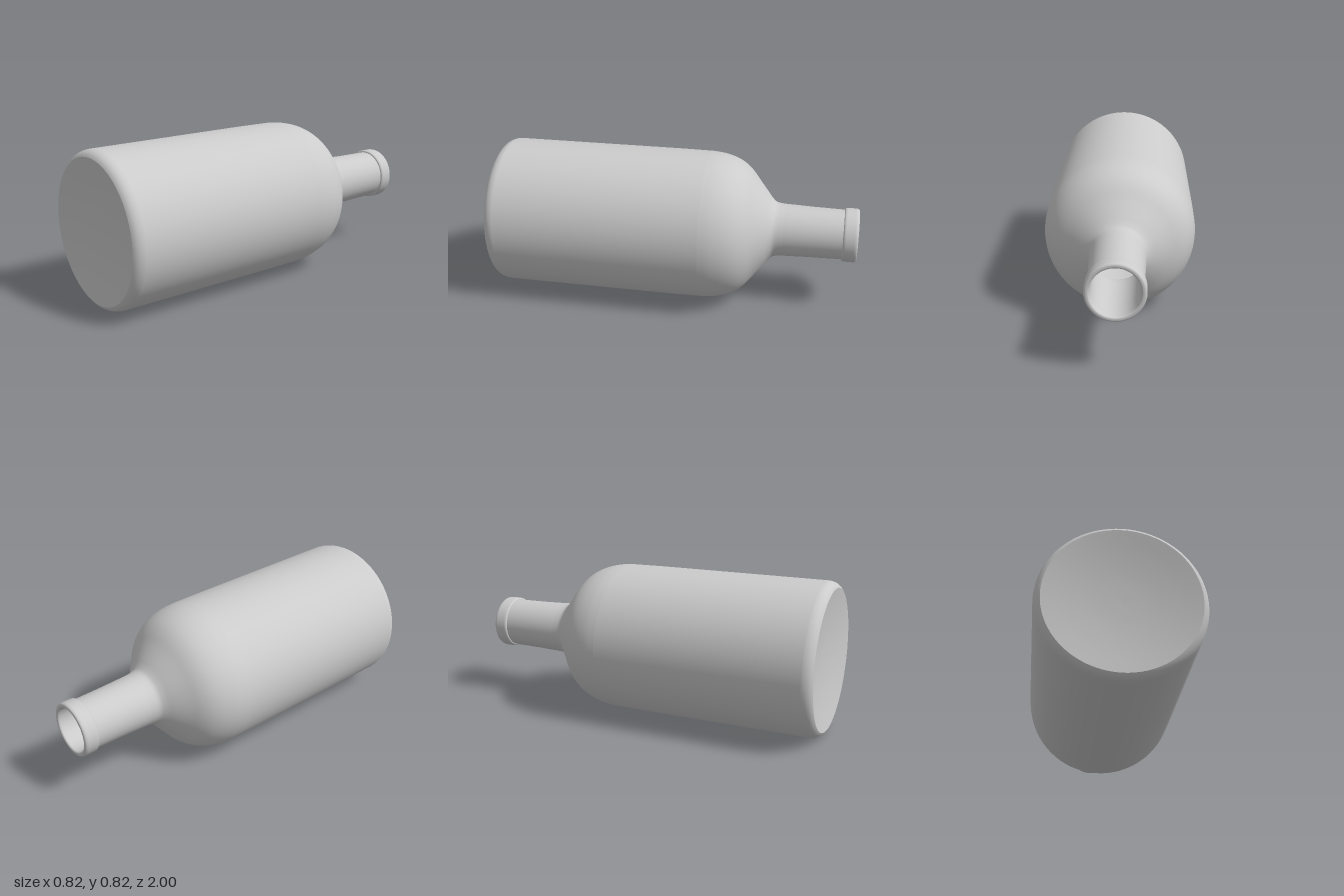
import * as THREE from 'three';

const SEGMENTS = 96;
const RADIUS = 0.41;

const material = new THREE.MeshStandardMaterial({ color: 0xcccccc });

const vec = ([r, h]) => new THREE.Vector2(r, h);

// Smooth profile through [radius, height] points
const smooth = (points, steps) => new THREE.SplineCurve(points.map(vec)).getPoints(steps);

// Quarter-round from one profile point to another, bulging toward a corner
const round = (from, corner, to, steps = 8) =>
  new THREE.QuadraticBezierCurve(vec(from), vec(corner), vec(to)).getPoints(steps);

function lathe(name, profile) {
  const mesh = new THREE.Mesh(new THREE.LatheGeometry(profile, SEGMENTS), material);
  mesh.name = name;
  return mesh;
}

export function createModel() {
  const bottle = new THREE.Group();
  bottle.name = 'bottle';

  // Shallow hollow underneath
  bottle.add(lathe('base', smooth([[0, -0.965], [0.13, -0.969], [0.26, -0.982], [0.377, -1]], 16)));

  // Rounded heel and straight wall
  bottle.add(lathe('body', [
    ...round([0.377, -1], [0.407, -0.985], [RADIUS, -0.945]),
    vec([RADIUS, 0]),
    vec([0.408, 0.18]),
  ]));

  // Domed shoulder sweeping into a slightly tapered neck
  const shoulder = [
    [0.408, 0.18], [0.402, 0.24], [0.385, 0.305], [0.358, 0.36], [0.32, 0.405],
    [0.265, 0.45], [0.21, 0.495], [0.17, 0.528], [0.15, 0.555], [0.144, 0.6],
  ];
  bottle.add(lathe('shoulder', smooth(shoulder, 48)));
  bottle.add(lathe('neck', [[0.144, 0.6], [0.139, 0.75], [0.136, 0.92]].map(vec)));

  // Rounded collar around the mouth
  bottle.add(lathe('lip', [
    vec([0.134, 0.92]),
    ...round([0.136, 0.92], [0.147, 0.92], [0.147, 0.937]),
    ...round([0.147, 0.978], [0.147, 1], [0.134, 1]),
    ...round([0.13, 1], [0.121, 1], [0.12, 0.988]),
  ]));

  // Inner wall, from the mouth down to the floor
  const inset = shoulder.map(([r, h]) => [r - 0.02, h - 0.008]).reverse();
  bottle.add(lathe('innerWall', [
    vec([0.12, 0.988]),
    vec([0.117, 0.9]),
    ...smooth(inset, 40),
    vec([0.39, 0]),
    ...round([0.39, -0.93], [0.387, -0.965], [0.36, -0.975]),
    vec([0.2, -0.955]),
    vec([0, -0.945]),
  ]));

  // Lay the bottle on its side, base to the front
  bottle.rotation.x = -Math.PI / 2;
  bottle.position.y = RADIUS;

  const model = new THREE.Group();
  model.name = 'lyingBottle';
  model.add(bottle);
  return model;
}
